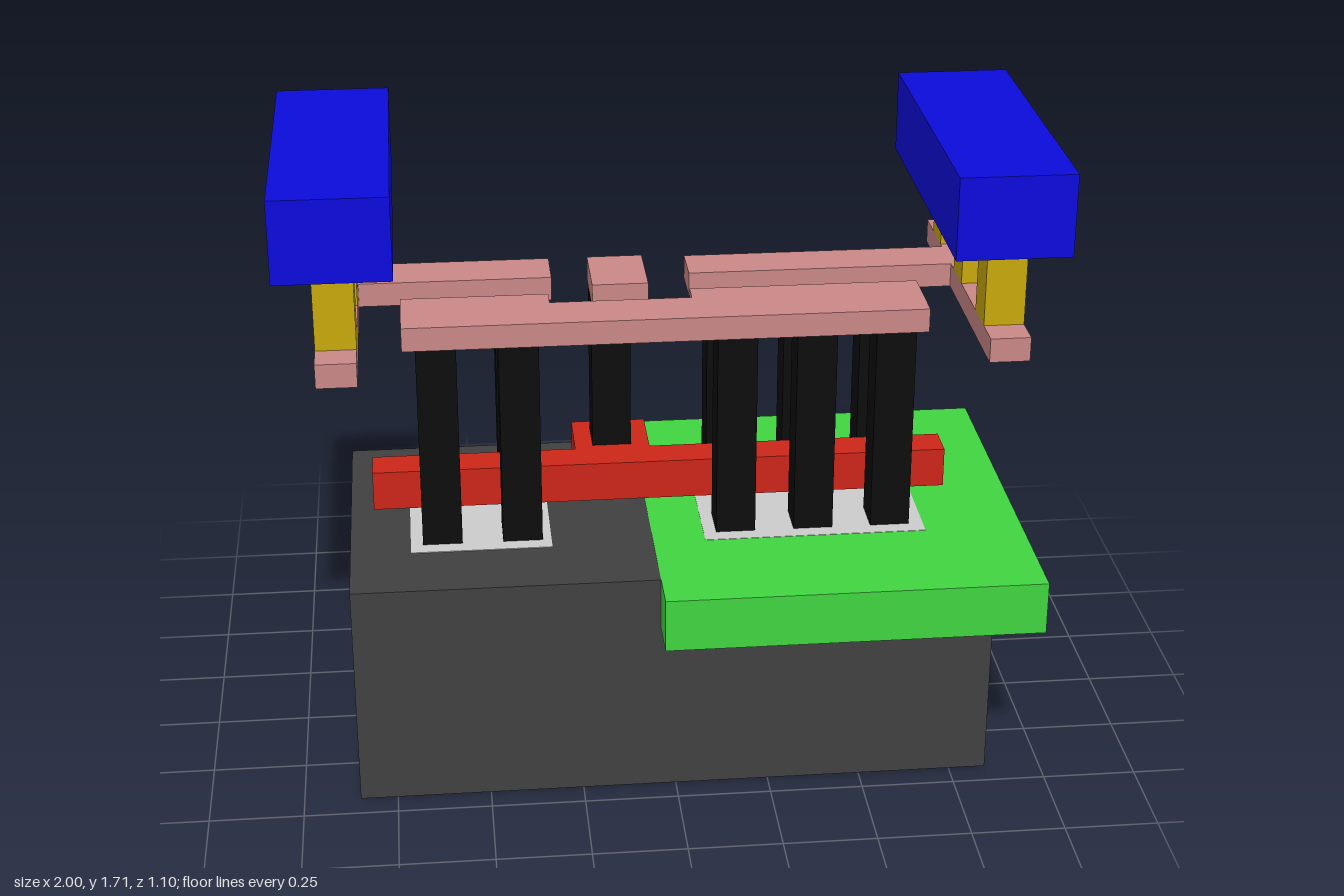
import * as THREE from 'three';

const mat = (color) => new THREE.MeshStandardMaterial({ color });

export function createModel() {
  const model = new THREE.Group();
  const dark = mat(0x404040), green = mat(0x40d440), grey = mat(0xcccccc), black = mat(0x0d0d0d),
    red = mat(0xcc2618), pink = mat(0xc98886), yellow = mat(0xc8a80c), blue = mat(0x0c0cdc);

  // Box given by its extents along each axis
  const box = (name, material, [x0, x1], [y0, y1], [z0, z1]) => {
    const mesh = new THREE.Mesh(new THREE.BoxGeometry(x1 - x0, y1 - y0, z1 - z0), material);
    mesh.position.set((x0 + x1) / 2, (y0 + y1) / 2, (z0 + z1) / 2);
    mesh.name = name;
    model.add(mesh);
  };
  // Plate cut from an outline of [x, z] points
  const plate = (name, material, points, y0, y1) => {
    const shape = new THREE.Shape(points.map(([x, z]) => new THREE.Vector2(x, -z)));
    const geo = new THREE.ExtrudeGeometry(shape, { depth: y1 - y0, bevelEnabled: false });
    const mesh = new THREE.Mesh(geo.rotateX(-Math.PI / 2), material);
    mesh.position.y = y0;
    mesh.name = name;
    model.add(mesh);
  };

  // Block, the well set into it, and the contact areas flush with its top
  const top = 0.625;
  box('substrate', dark, [-0.85, 0.85], [0, top], [-0.43, 0.43]);
  box('well', green, [-0.04, 0.965], [0.48, top + 0.001], [-0.55, 0.55]);
  box('contactAreaRight', grey, [-0.69, -0.31], [0.56, top + 0.002], [-0.22, 0.22]);
  box('contactAreaLeft', grey, [0.1, 0.7], [0.56, top + 0.002], [-0.22, 0.22]);

  // Gate bar with its side tab
  plate('gate', red, [[-0.785, 0.04], [0.78, 0.04], [0.78, -0.06], [-0.025, -0.06],
    [-0.025, -0.235], [-0.23, -0.235], [-0.23, -0.06], [-0.785, -0.06]], 0.67, 0.78);

  // Two rows of posts; the one through the gate tab is only in the back row
  const post = (x, z) => box('post', black, [x - 0.053, x + 0.053], [top, 1.21], [z - 0.055, z + 0.055]);
  const pairs = [-0.603, -0.388, 0.187, 0.398, 0.608];
  for (const x of pairs) post(x, 0.122);
  for (const x of [...pairs, -0.128]) post(x, -0.132);

  // Lower wiring
  const level = [1.21, 1.275];
  plate('frontStrip', pink, [[-0.69, 0.22], [0.685, 0.22], [0.685, 0.02], [0.075, 0.02],
    [0.075, 0.08], [-0.3, 0.08], [-0.3, 0.02], [-0.69, 0.02]], ...level);
  box('backStripRight', pink, [-0.8, -0.285], level, [-0.235, -0.095]);
  box('backStripLeft', pink, [0.085, 0.8], level, [-0.22, -0.09]);
  box('gatePad', pink, [-0.18, -0.03], level, [-0.235, -0.03]);

  // Both ends: rail, three short pillars and the thick upper bar
  for (const side of [-1, 1]) {
    const span = (a, b) => (side > 0 ? [a, b] : [-b, -a]);
    box('endRail', pink, span(0.8, 0.905), level, [-0.43, 0.43]);
    for (const z of [-0.29, 0, 0.29]) {
      box('pillar', yellow, span(0.8, 0.905), [1.275, 1.49], [z - 0.053, z + 0.053]);
    }
    box('upperBar', blue, span(0.7, 1), [1.49, 1.71], [-0.43, 0.43]);
  }
  return model;
}
